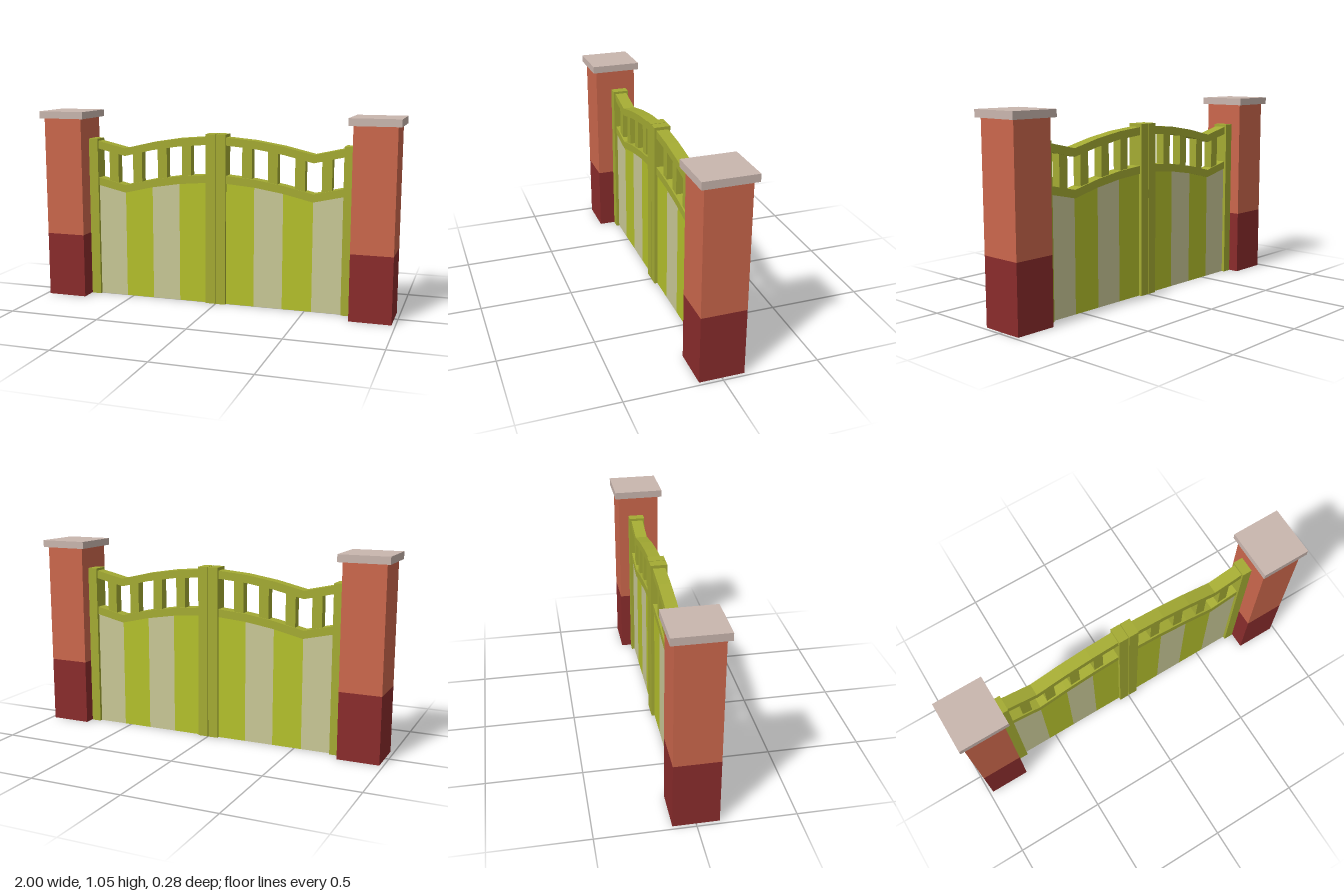
import * as THREE from 'three';

const material = (name, color) => {
  const m = new THREE.MeshStandardMaterial({ color });
  m.name = name;
  return m;
};

const GATE_Z = -0.017; // the gate sits slightly behind the pillar centres
const RAIL_H = 0.043;
const RAIL_DROP = 0.208; // from upper rail to lower rail

// Top edge of the upper rail, from the gate centre outwards
const CURVE = [[0.05, 0.928], [0.215, 0.914], [0.375, 0.888], [0.538, 0.85], [0.71, 0.889]];

function railTop(x) {
  let i = 0;
  while (i < CURVE.length - 2 && x > CURVE[i + 1][0]) i++;
  const [x0, y0] = CURVE[i], [x1, y1] = CURVE[i + 1];
  return y0 + ((y1 - y0) * (x - x0)) / (x1 - x0);
}

export function createModel() {
  const model = new THREE.Group();
  model.name = 'gateway';

  const brick = material('terracotta', 0xcb674c);
  const darkBrick = material('dark red', 0x8a2c2c);
  const stone = material('pale stone', 0xc9b6ae);
  const frame = material('olive green', 0xa4ab33);
  const lime = material('lime green', 0xb4c02c);
  const cream = material('cream green', 0xc9c896);

  function box(parent, name, mat, x0, x1, y0, y1, depth, z = 0) {
    const mesh = new THREE.Mesh(new THREE.BoxGeometry(Math.abs(x1 - x0), y1 - y0, depth), mat);
    mesh.position.set((x0 + x1) / 2, (y0 + y1) / 2, z);
    mesh.name = name;
    parent.add(mesh);
  }

  function plate(parent, name, mat, points, depth) {
    const shape = new THREE.Shape(points.map(([x, y]) => new THREE.Vector2(x, y)));
    const geo = new THREE.ExtrudeGeometry(shape, { depth, bevelEnabled: false });
    geo.translate(0, 0, GATE_Z - depth / 2);
    const mesh = new THREE.Mesh(geo, mat);
    mesh.name = name;
    parent.add(mesh);
  }

  for (const s of [-1, 1]) {
    const side = s > 0 ? 'left' : 'right';

    // Pillar: dark base, brick shaft and overhanging cap
    const pillar = new THREE.Group();
    pillar.name = side + 'Pillar';
    box(pillar, 'pillarBase', darkBrick, s * 0.757, s * 0.98, 0, 0.358, 0.234);
    box(pillar, 'pillarShaft', brick, s * 0.757, s * 0.98, 0.358, 1.016, 0.234);
    box(pillar, 'pillarCap', stone, s * 0.735, s, 1.016, 1.055, 0.276);
    model.add(pillar);

    // Gate leaf: end posts
    const leaf = new THREE.Group();
    leaf.name = side + 'GateLeaf';
    box(leaf, 'meetingPost', frame, s * 0.002, s * 0.057, 0, 0.944, 0.088, GATE_Z);
    box(leaf, 'hingePost', frame, s * 0.7, s * 0.754, 0, 0.9, 0.088, GATE_Z);

    // Upper and lower curved rails
    for (const [name, drop] of [['upperRail', 0], ['lowerRail', RAIL_DROP]]) {
      const top = CURVE.map(([x, y]) => [s * x, y - drop]);
      const bottom = top.map(([x, y]) => [x, y - RAIL_H]).reverse();
      plate(leaf, name, frame, [...top, ...bottom], 0.066);
    }

    // Balusters between the rails
    for (const x of [0.173, 0.316, 0.465, 0.609]) {
      const y = railTop(x);
      box(leaf, 'baluster', frame, s * (x - 0.027), s * (x + 0.027),
        y - RAIL_DROP - 0.025, y - 0.025, 0.05, GATE_Z);
    }

    // Striped boards, cut to follow the lower rail
    const edges = CURVE.map((p) => p[0]);
    for (let i = 0; i < edges.length - 1; i++) {
      const a = edges[i], b = edges[i + 1];
      const top = (x) => railTop(x) - RAIL_DROP - 0.025;
      plate(leaf, 'board', i % 2 ? cream : lime,
        [[s * a, 0], [s * b, 0], [s * b, top(b)], [s * a, top(a)]], 0.054);
    }
    model.add(leaf);
  }
  return model;
}
